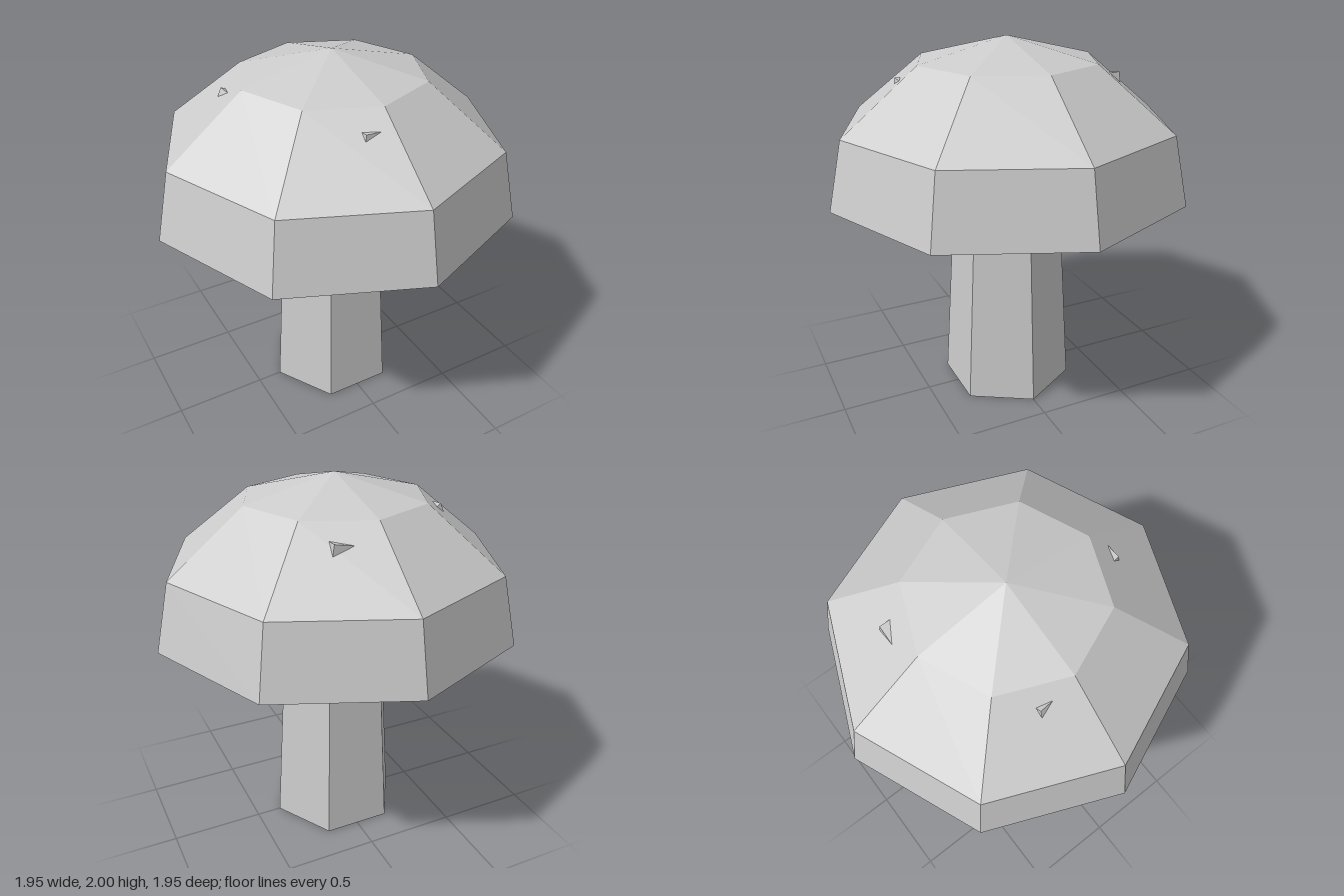
import * as THREE from 'three';
import { ConvexGeometry } from 'three/addons/geometries/ConvexGeometry.js';

export function createModel() {
  const group = new THREE.Group();
  const grey = new THREE.MeshStandardMaterial({ color: 0xcccccc, flatShading: true });
  grey.name = 'light grey';

  const add = (name, geometry) => {
    const mesh = new THREE.Mesh(geometry, grey);
    mesh.name = name;
    group.add(mesh);
    return mesh;
  };

  // Tapered six-sided stem, with corners on the x axis
  const stem = add('stem', new THREE.CylinderGeometry(0.291, 0.365, 1.19, 6));
  stem.position.y = 0.595;
  stem.rotation.y = Math.PI / 6;

  // Eight-sided domed cap with a flat underside
  const profile = [[0, 1.187], [0.977, 1.187], [0.897, 1.553], [0.488, 1.88], [0, 2]];
  add('cap', new THREE.LatheGeometry(profile.map(([r, y]) => new THREE.Vector2(r, y)), 8));

  // Small pointed warts: three base corners sunk in the cap, then the raised tip
  const warts = {
    frontWart: [[-0.145, 1.803, 0.53], [-0.145, 1.77, 0.565], [-0.06, 1.8, 0.562], [-0.14, 1.803, 0.562]],
    backWart: [[0.15, 1.793, -0.535], [0.25, 1.81, -0.475], [0.26, 1.757, -0.535], [0.25, 1.812, -0.532]],
    rightWart: [[-0.53, 1.778, -0.21], [-0.485, 1.813, -0.21], [-0.505, 1.822, -0.13], [-0.512, 1.825, -0.205]],
  };
  for (const [name, corners] of Object.entries(warts)) {
    add(name, new ConvexGeometry(corners.map((c) => new THREE.Vector3(...c))));
  }

  return group;
}
